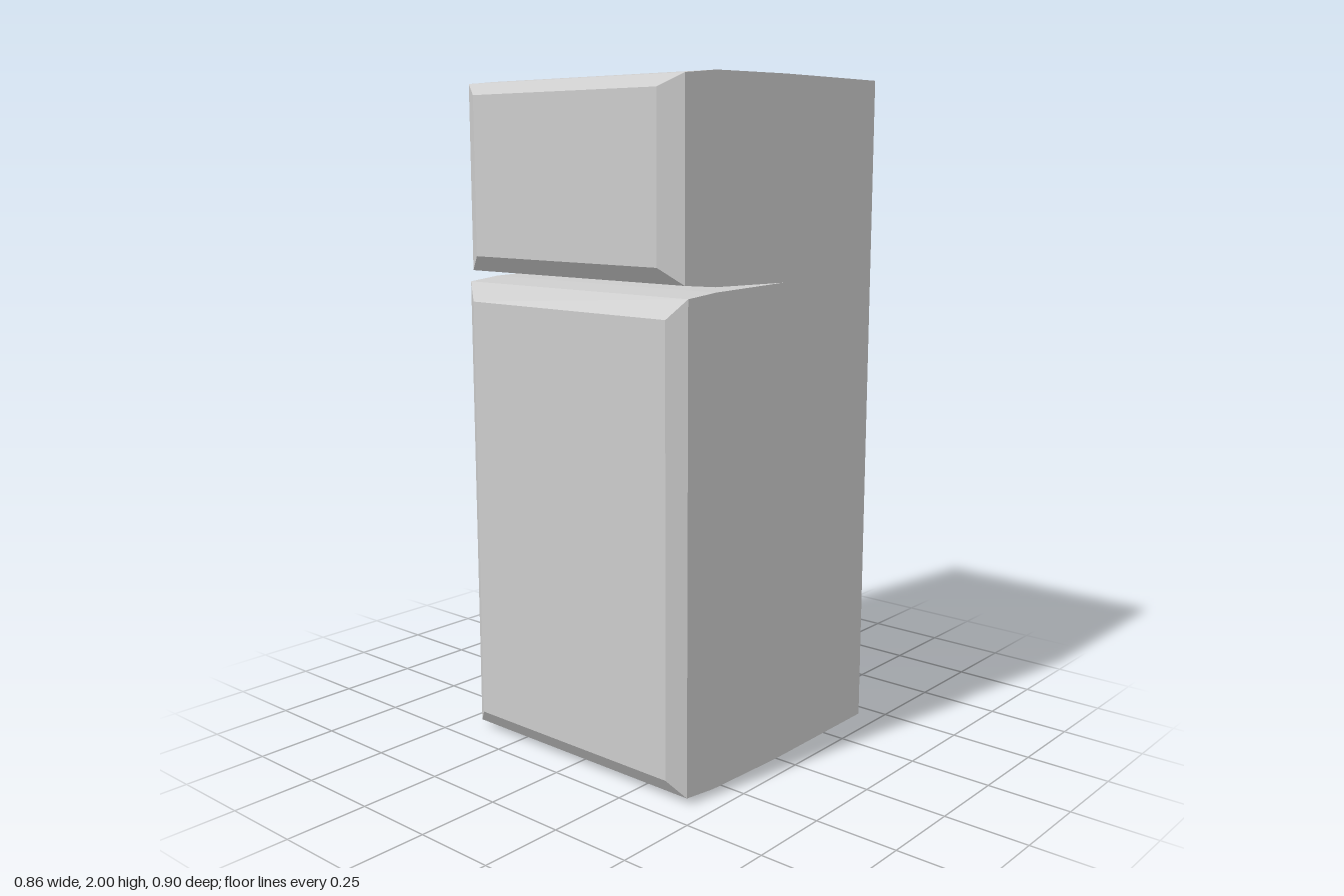
import * as THREE from 'three';

const material = new THREE.MeshStandardMaterial({ color: 0xcccccc, flatShading: true });

// Loft rectangular sections [z, halfWidth, yBottom, yTop] from back to front, capping the front
function loftDoor(name, sections) {
  const positions = [];
  const index = [];
  for (const [z, w, y0, y1] of sections) {
    positions.push(-w, y0, z, w, y0, z, w, y1, z, -w, y1, z);
  }
  const last = (sections.length - 1) * 4;
  for (let s = 0; s < last; s += 4) {
    for (let i = 0; i < 4; i++) {
      const j = (i + 1) % 4;
      index.push(s + i, s + j, s + 4 + j, s + i, s + 4 + j, s + 4 + i);
    }
  }
  index.push(last, last + 1, last + 2, last, last + 2, last + 3);
  const geometry = new THREE.BufferGeometry();
  geometry.setAttribute('position', new THREE.Float32BufferAttribute(positions, 3));
  geometry.setIndex(index);
  geometry.computeVertexNormals();
  const mesh = new THREE.Mesh(geometry, material);
  mesh.name = name;
  return mesh;
}

export function createModel() {
  const group = new THREE.Group();
  group.name = 'refrigerator';

  // Square rear cabinet
  const cabinet = new THREE.Mesh(new THREE.BoxGeometry(0.86, 2, 0.45), material);
  cabinet.name = 'cabinet';
  cabinet.position.set(0, 1, -0.225);
  group.add(cabinet);

  // Small upper door: gentle taper, then a bevelled front
  group.add(loftDoor('freezerDoor', [
    [0, 0.43, 1.427, 2],
    [0.3, 0.426, 1.434, 1.996],
    [0.41, 0.412, 1.444, 1.985],
    [0.45, 0.35, 1.49, 1.95],
  ]));

  // Tall lower door, separated by a groove that narrows towards the cabinet
  group.add(loftDoor('mainDoor', [
    [0, 0.43, 0, 1.427],
    [0.3, 0.429, 0.01, 1.42],
    [0.41, 0.424, 0.02, 1.41],
    [0.445, 0.375, 0.07, 1.355],
  ]));

  return group;
}
